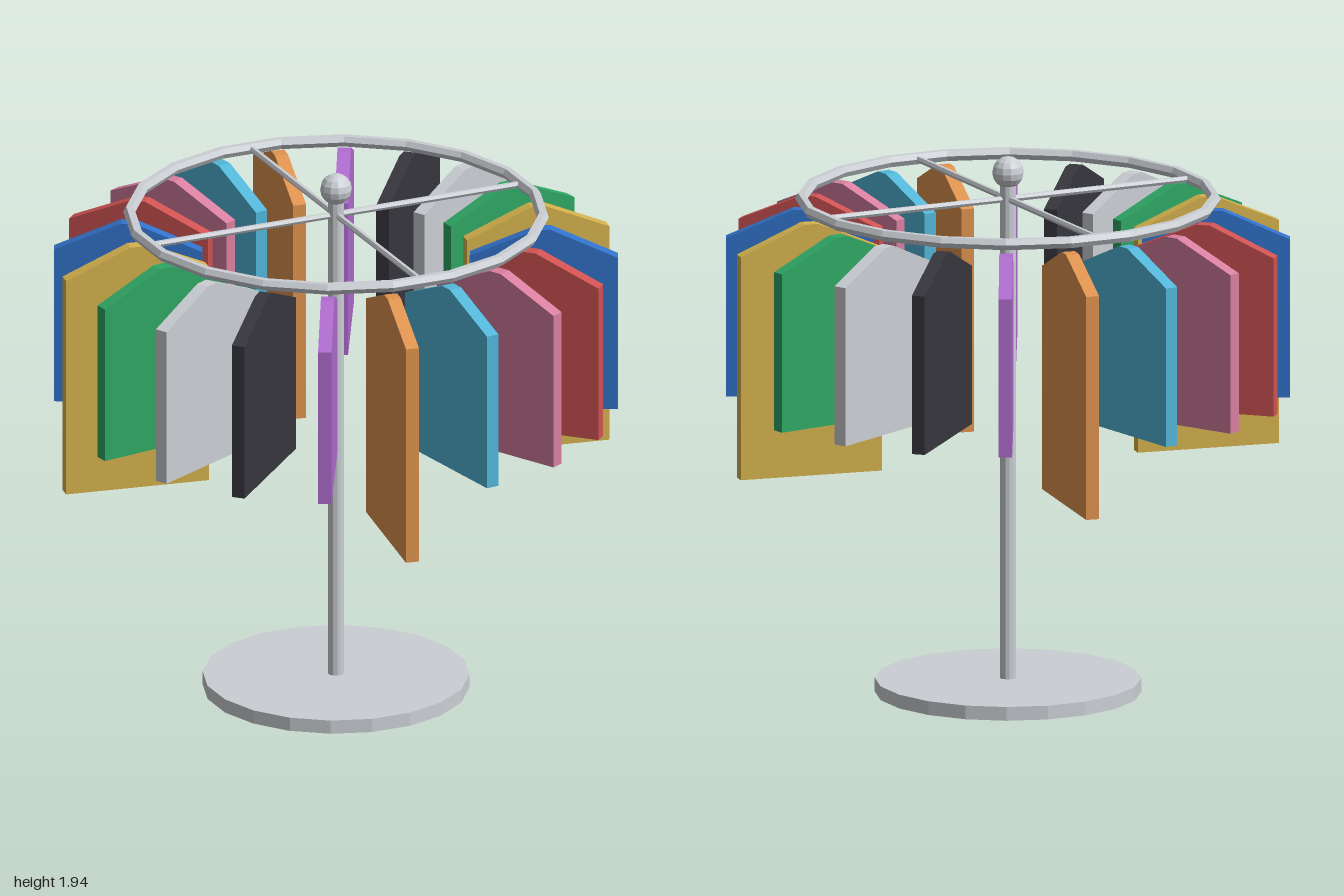
import * as THREE from 'three';

const mat = (name, color) => {
  const m = new THREE.MeshStandardMaterial({ color, flatShading: true });
  m.name = name;
  return m;
};

export function createModel() {
  const model = new THREE.Group();
  model.name = 'roundClothesRack';
  const metal = mat('silver grey', 0xcbcfd4);
  const add = (name, geometry, material, x = 0, y = 0, z = 0) => {
    const mesh = new THREE.Mesh(geometry, material);
    mesh.name = name;
    mesh.position.set(x, y, z);
    model.add(mesh);
    return mesh;
  };

  // Stand: base disc, pole and ball finial
  add('base', new THREE.CylinderGeometry(0.473, 0.473, 0.05, 20), metal, 0, 0.025, 0);
  add('pole', new THREE.CylinderGeometry(0.029, 0.029, 1.8, 12), metal, 0, 0.945, 0);
  add('finial', new THREE.SphereGeometry(0.057, 12, 8), metal, 0, 1.887, 0);

  // Hanging ring with two crossing bars
  add('ring', new THREE.TorusGeometry(0.733, 0.022, 6, 20).rotateX(Math.PI / 2), metal, 0, 1.79, 0);
  for (const side of [1, -1]) {
    const bar = new THREE.CylinderGeometry(0.012, 0.012, 1.46, 6).rotateZ(Math.PI / 2);
    add('spoke', bar, metal, 0, 1.79, 0).rotation.y = side * Math.PI / 4;
  }

  // Garment slab: sloping shoulders, straight sides, standing in a radial plane
  const garment = (bottom) => {
    const inner = 0.475, outer = 1.0, mid = (inner + outer) / 2, depth = 0.048;
    const shape = new THREE.Shape([
      [inner, bottom], [outer, bottom], [outer, 1.65],
      [mid + 0.025, 1.752], [mid - 0.025, 1.752], [inner, 1.65],
    ].map(([x, y]) => new THREE.Vector2(x, y)));
    return new THREE.ExtrudeGeometry(shape, { depth, bevelEnabled: false }).translate(0, 0, -depth / 2);
  };
  const shirt = garment(1.075);
  const coat = garment(0.84);

  // Ten garments, repeated on the opposite side
  const rail = [
    [mat('red', 0xd05252), shirt],
    [mat('blue', 0x3273cc), shirt],
    [mat('mustard', 0xd4b24c), coat],
    [mat('green', 0x2fa865), shirt],
    [metal, shirt],
    [mat('charcoal', 0x37363d), shirt],
    [mat('purple', 0xb06ccf), shirt],
    [mat('orange', 0xe0934e), coat],
    [mat('sky blue', 0x52b6d9), shirt],
    [mat('pink', 0xd87f9f), shirt],
  ];
  for (let i = 0; i < 20; i++) {
    const [material, geometry] = rail[i % 10];
    const name = geometry === coat ? 'longGarment' : 'shortGarment';
    add(name, geometry, material).rotation.y = i * Math.PI / 10;
  }
  return model;
}
